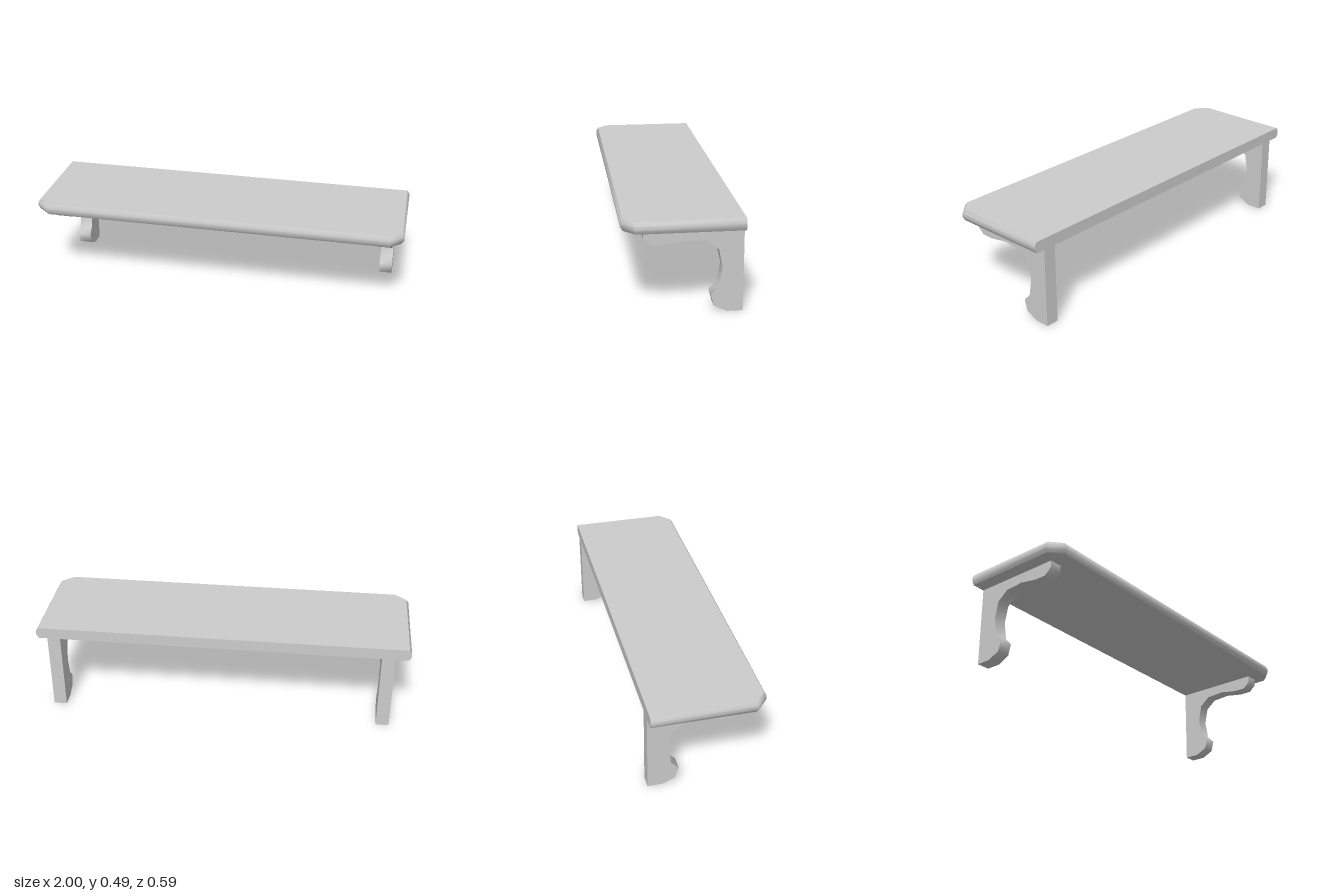
import * as THREE from 'three';
import { toCreasedNormals } from 'three/addons/utils/BufferGeometryUtils.js';

const BACK = -0.296, FRONT = 0.296;

// Board outline seen from above, shrunk by d on every edge but the straight back
function outline(d) {
  return [
    [-1 + d, BACK], [-1 + d, 0.235 - d * 0.46], [-0.93 + d * 0.37, FRONT - d],
    [0.93 - d * 0.37, FRONT - d], [1 - d, 0.235 - d * 0.46], [1 - d, BACK],
  ];
}

// Board as stacked outlines, giving a rounded edge
function boardGeometry() {
  const levels = [[0.427, 0.012], [0.447, 0], [0.469, 0], [0.488, 0.012]]; // [height, inset]
  const n = 6, positions = [], index = [];
  for (const [y, inset] of levels) {
    for (const [x, z] of outline(inset)) positions.push(x, y, z);
  }
  const top = (levels.length - 1) * n;
  for (let l = 0; l < levels.length - 1; l++) {
    for (let i = 0; i < n; i++) {
      const a = l * n + i, b = l * n + (i + 1) % n;
      index.push(a, b, b + n, a, b + n, a + n);
    }
  }
  for (let i = 1; i < n - 1; i++) {
    index.push(top, top + i, top + i + 1, 0, i + 1, i);
  }
  const geometry = new THREE.BufferGeometry();
  geometry.setAttribute('position', new THREE.Float32BufferAttribute(positions, 3));
  geometry.setIndex(index);
  return toCreasedNormals(geometry, 0.9);
}

// Scrolled bracket profile in (z, y), extruded sideways and centred on x = 0
function bracketGeometry() {
  const profile = [
    [BACK, 0], [-0.217, 0], [-0.153, 0.031], [-0.137, 0.09], [-0.175, 0.129],
    [-0.193, 0.227], [-0.174, 0.32], [-0.116, 0.366], [-0.015, 0.373],
    [0.087, 0.355], [0.152, 0.355], [0.19, 0.39], [0.19, 0.427], [BACK, 0.427],
  ];
  const shape = new THREE.Shape(profile.map(([z, y]) => new THREE.Vector2(z, y)));
  const width = 0.07;
  const geometry = new THREE.ExtrudeGeometry(shape, { depth: width, bevelEnabled: false });
  geometry.translate(0, 0, -width / 2).rotateY(-Math.PI / 2);
  return toCreasedNormals(geometry, 1.1);
}

export function createModel() {
  const group = new THREE.Group();
  group.name = 'wallShelf';
  const material = new THREE.MeshStandardMaterial({ color: 0xcccccc });

  const add = (name, geometry, x = 0) => {
    const mesh = new THREE.Mesh(geometry, material);
    mesh.name = name;
    mesh.position.x = x;
    group.add(mesh);
  };

  add('shelfBoard', boardGeometry());

  // Two brackets, set slightly off-centre under the board
  const bracket = bracketGeometry();
  add('leftBracket', bracket, 0.906);
  add('rightBracket', bracket, -0.884);

  return group;
}
